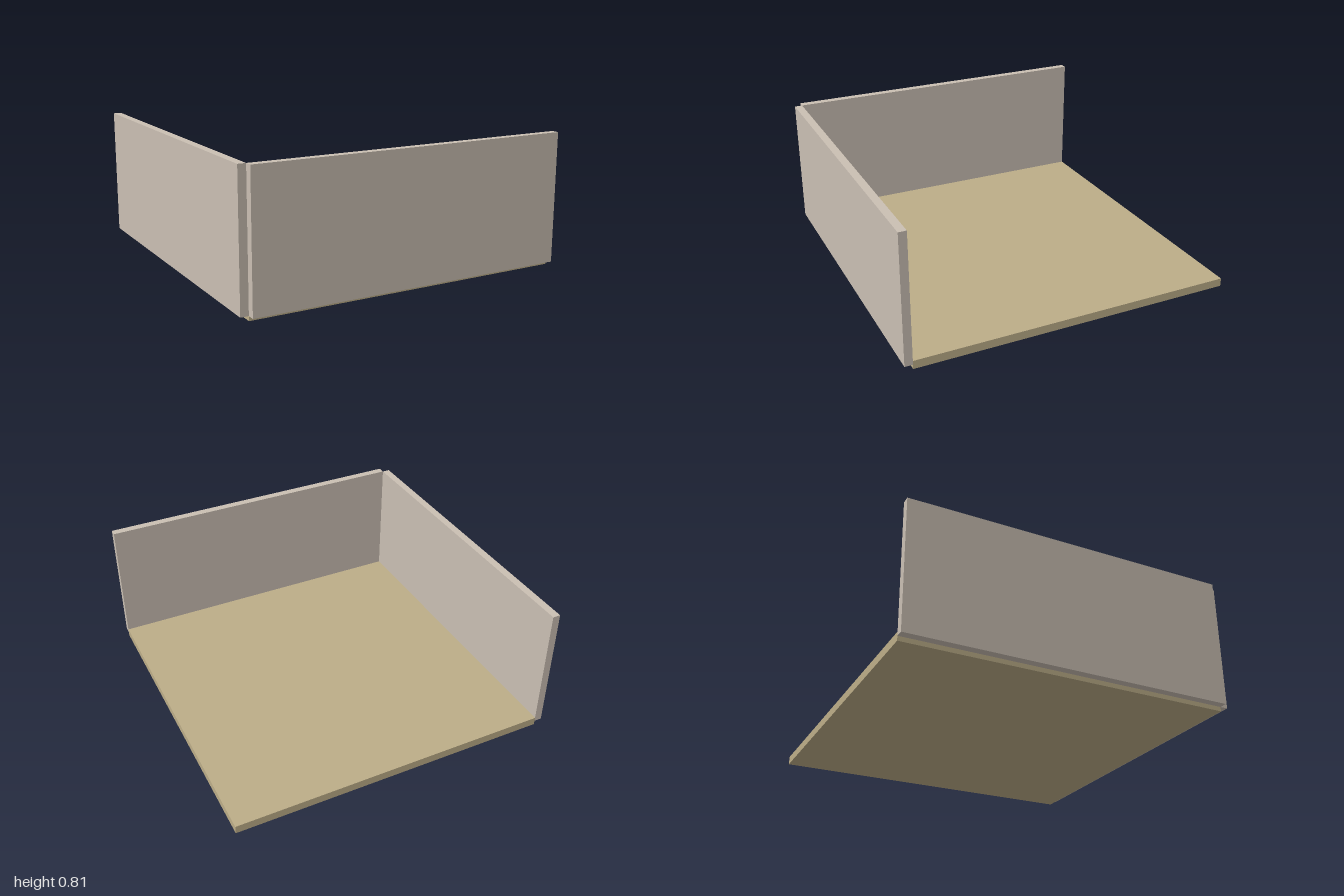
import * as THREE from 'three';

const wallPaint = new THREE.MeshStandardMaterial({ name: 'wallPaint', color: 0xcabfb3 });
const floorWood = new THREE.MeshStandardMaterial({ name: 'floorWood', color: 0xbcad88 });

// Box between two opposite corners
function slab(name, material, [x0, y0, z0], [x1, y1, z1]) {
  const mesh = new THREE.Mesh(new THREE.BoxGeometry(x1 - x0, y1 - y0, z1 - z0), material);
  mesh.name = name;
  mesh.position.set((x0 + x1) / 2, (y0 + y1) / 2, (z0 + z1) / 2);
  return mesh;
}

export function createModel() {
  const room = new THREE.Group();
  room.name = 'roomCorner';

  const inner = 0.953; // inner face of both walls, where the floor ends
  const base = 0.027; // walls start halfway up the floor's edge
  const top = 0.805;

  room.add(
    slab('floor', floorWood, [-inner, 0, -1], [1, 0.05, inner]),
    slab('rightWall', wallPaint, [-1, base, -1], [-inner, top, inner]),
    slab('frontWall', wallPaint, [-inner, base, inner], [1, top, 1]),
  );
  return room;
}
